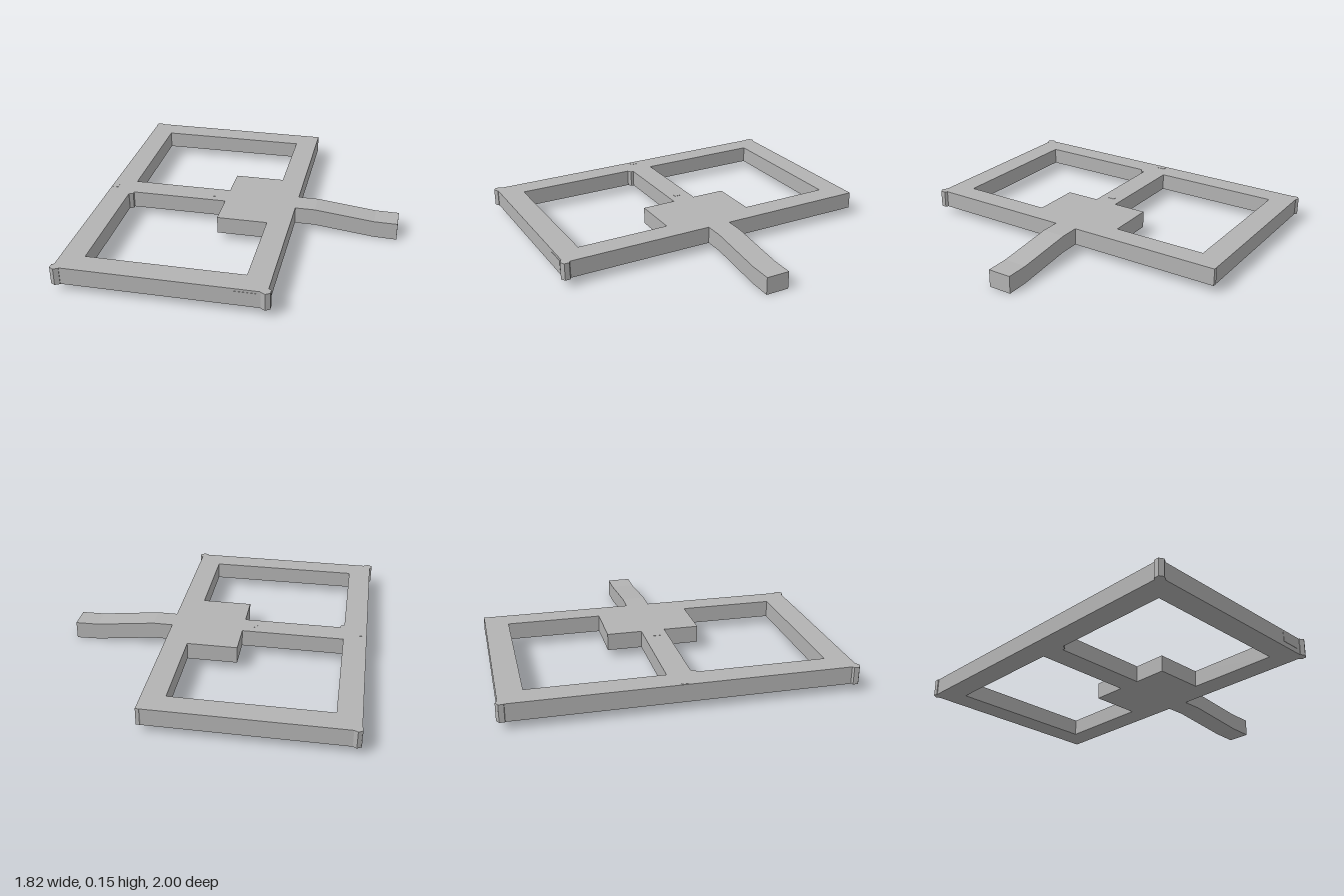
import * as THREE from 'three';

const Y0 = 0.046, Y1 = 0.149, H = Y1 - Y0;
const Z0 = -0.075, Z1 = 0.067; // width of middle bar and handle

export function createModel() {
  const model = new THREE.Group();
  model.name = 'doubleFrameWithHandle';
  const grey = new THREE.MeshStandardMaterial({ color: 0xb3b3b3, flatShading: true });
  grey.name = 'plain grey';

  const add = (name, geometry, x = 0, y = 0, z = 0) => {
    const mesh = new THREE.Mesh(geometry, grey);
    mesh.name = name;
    mesh.position.set(x, y, z);
    model.add(mesh);
    return mesh;
  };
  const points = (list) => list.map(([x, z]) => new THREE.Vector2(x, -z));

  // Flat frame with two L-shaped openings around the central block
  const frame = new THREE.Shape(points([[-0.898, 0.98], [0.29, 0.98], [0.29, -0.988], [-0.898, -0.988]]));
  const opening = (inner, block, outer) => new THREE.Path(points([
    [-0.76, inner], [-0.148, inner], [-0.148, block], [0.153, block], [0.153, outer], [-0.76, outer],
  ]));
  frame.holes.push(opening(Z0, -0.282, -0.847), opening(Z1, 0.276, 0.84));
  const frameGeometry = new THREE.ExtrudeGeometry(frame, { depth: H, bevelEnabled: false });
  frameGeometry.rotateX(-Math.PI / 2);
  add('frame', frameGeometry, 0, Y0, 0);

  // Handle that slopes down to a level grip
  const side = new THREE.Shape([
    [0.29, Y0], [0.41, Y0], [0.77, 0.004], [0.91, 0], [0.91, 0.106], [0.77, 0.108], [0.41, Y1], [0.29, Y1],
  ].map(([x, y]) => new THREE.Vector2(x, y)));
  add('handle', new THREE.ExtrudeGeometry(side, { depth: Z1 - Z0, bevelEnabled: false }), 0, 0, Z0);

  // Small faceted posts at the corners
  const posts = [
    ['backRightPost', -0.877, -0.971, 0.029],
    ['backLeftPost', 0.268, -0.968, 0.023],
    ['frontRightPost', -0.885, 0.968, 0.03],
    ['frontLeftPost', 0.28, 0.968, 0.03],
    ['innerPost', -0.758, 0.072, 0.026],
  ];
  for (const [name, x, z, r] of posts) {
    add(name, new THREE.CylinderGeometry(r, r, H, 6), x, (Y0 + Y1) / 2, z);
  }

  // Thin plates on the front edge and along the middle bar
  add('frontPlate', new THREE.BoxGeometry(0.048, 0.058, 0.004), 0.126, 0.105, 0.98);
  add('frontPlateLong', new THREE.BoxGeometry(0.08, 0.058, 0.004), 0.19, 0.105, 0.98);
  add('barPlateOuter', new THREE.BoxGeometry(0.036, 0.003, 0.048), -0.874, Y1, 0);
  add('barPlateInner', new THREE.BoxGeometry(0.02, 0.003, 0.046), -0.223, Y1, 0);

  return model;
}
